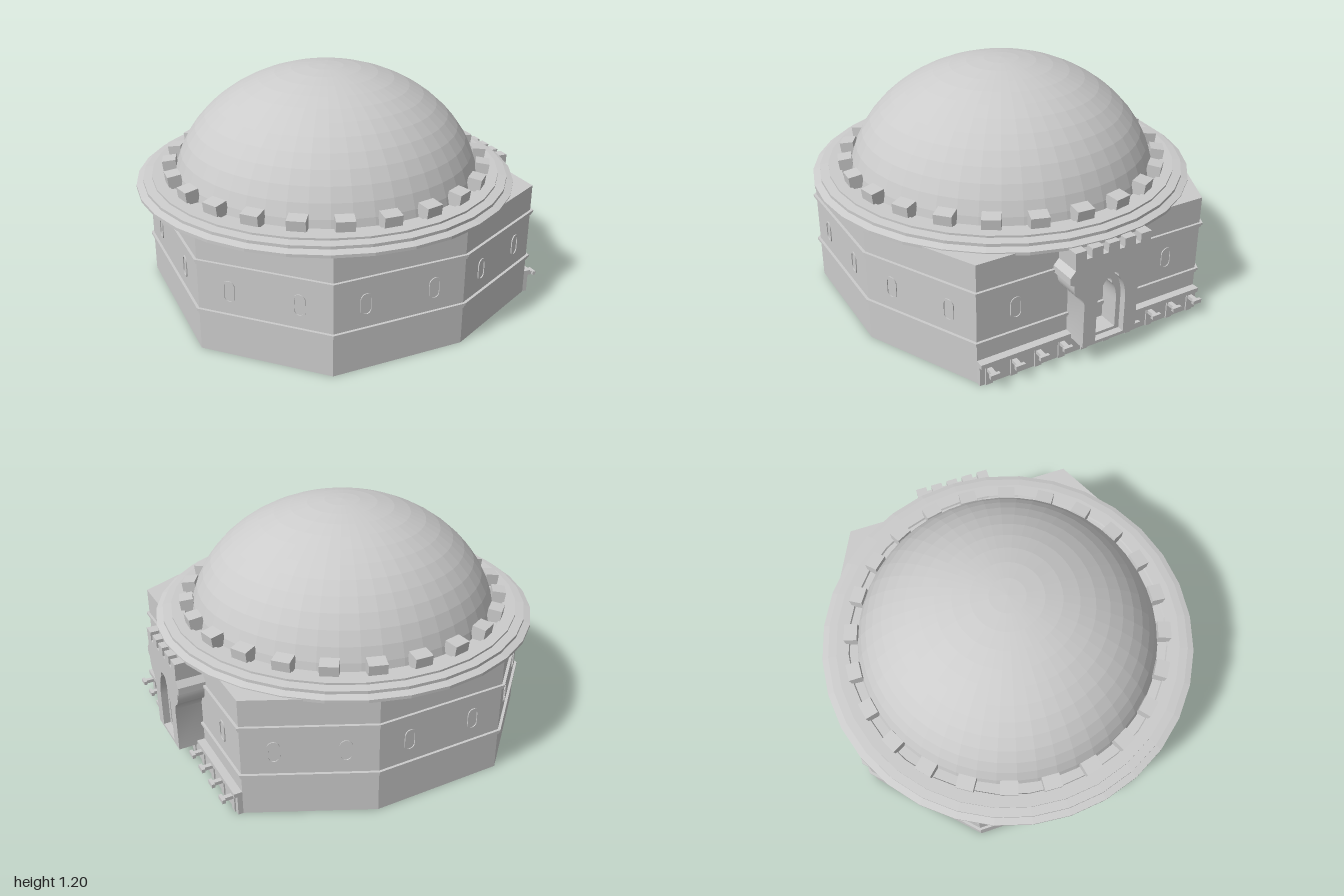
import * as THREE from 'three';
import { toCreasedNormals } from 'three/addons/utils/BufferGeometryUtils.js';

const grey = new THREE.MeshStandardMaterial({ color: 0xcccccc, side: THREE.DoubleSide });
const faceted = new THREE.MeshStandardMaterial({ color: 0xcccccc, flatShading: true, side: THREE.DoubleSide });

// Half of the eight-sided wall plan (x, z), mirrored to the other half
const half = [[0.865, 0.63], [0.3, 0.91], [-0.38, 0.91], [-0.86, 0.44]];
const plan = [...half, ...half.map(([x, z]) => [x, -z]).reverse()];

export function createModel() {
  const model = new THREE.Group();

  const add = (name, geometry, material = grey, parent = model) => {
    const mesh = new THREE.Mesh(geometry, material);
    mesh.name = name;
    parent.add(mesh);
    return mesh;
  };
  const group = (name) => {
    const g = new THREE.Group();
    g.name = name;
    model.add(g);
    return g;
  };
  // Box given by its limits
  const box = (name, x0, x1, y0, y1, z0, z1, parent) =>
    add(name, new THREE.BoxGeometry(x1 - x0, y1 - y0, z1 - z0), grey, parent)
      .position.set((x0 + x1) / 2, (y0 + y1) / 2, (z0 + z1) / 2);
  // Slab with the wall plan, scaled outward
  const prism = (name, y0, y1, s) => {
    const shape = new THREE.Shape(plan.map(([x, z]) => new THREE.Vector2(x * s, z * s)));
    const g = new THREE.ExtrudeGeometry(shape, { depth: y1 - y0, bevelEnabled: false });
    add(name, g.rotateX(-Math.PI / 2).translate(0, y0, 0));
  };
  const ring = (name, pts, segments, material) =>
    add(name, new THREE.LatheGeometry(pts.map(([r, y]) => new THREE.Vector2(r, y)), segments), material);

  // Walls and their string courses
  prism('walls', 0, 0.62, 1);
  for (const y of [0.2, 0.46]) {
    prism('stringCourse', y, y + 0.012, 1.008);
    prism('stringCourseLip', y + 0.012, y + 0.024, 1.015);
  }

  // Oval window frames, two on each wall
  const oval = (P, r, h) => {
    const p = new P();
    p.absarc(0, h, r, 0, Math.PI, false);
    p.absarc(0, -h, r, Math.PI, Math.PI * 2, false);
    p.closePath();
    return p;
  };
  const frame = oval(THREE.Shape, 0.03, 0.027);
  frame.holes.push(oval(THREE.Path, 0.023, 0.025));
  const frameGeometry = new THREE.ExtrudeGeometry(frame, { depth: 0.008, bevelEnabled: false, curveSegments: 8 });
  const windows = group('windows');
  plan.forEach(([x0, z0], i) => {
    const [x1, z1] = plan[(i + 1) % plan.length];
    const inset = i === plan.length - 1 ? 0.16 : 0.24;
    for (const t of [inset, 1 - inset]) {
      const w = add('windowFrame', frameGeometry, grey, windows);
      w.position.set(x0 + (x1 - x0) * t, 0.34, z0 + (z1 - z0) * t);
      w.rotation.y = Math.atan2(z1 - z0, x0 - x1) + Math.PI / 2;
      // face away from the centre
      const n = new THREE.Vector3(z0 - z1, 0, x1 - x0).normalize();
      if (n.dot(w.position) < 0) n.negate();
      w.rotation.y = Math.atan2(n.x, n.z);
      w.position.addScaledVector(n, -0.003);
    }
  });

  // Stepped round cornice
  ring('cornice', [[0.7, 0.6], [0.955, 0.6], [0.985, 0.61], [0.985, 0.625], [0.95, 0.635],
    [0.95, 0.65], [0.905, 0.655], [0.905, 0.665], [0.84, 0.665], [0.835, 0.655], [0.7, 0.655]], 32, faceted)
    .position.x = -0.015;

  // Dome
  const domePts = [];
  for (let i = 0; i <= 14; i++) {
    const a = (i / 14) * Math.PI / 2;
    domePts.push([0.803 * Math.cos(a), 0.55 + 0.648 * Math.sin(a)]);
  }
  domePts[14][0] = 0;
  ring('dome', domePts, 48, faceted).position.x = -0.008;

  // Blocks around the foot of the dome
  const blocks = group('domeBlocks');
  for (let i = 0; i < 24; i++) {
    const a = THREE.MathUtils.degToRad(3 + i * 15);
    const b = add('domeBlock', new THREE.BoxGeometry(0.09, 0.075, 0.07), grey, blocks);
    b.position.set(-0.01 + 0.815 * Math.sin(a), 0.684, -0.815 * Math.cos(a));
    b.rotation.order = 'YXZ';
    b.rotation.y = Math.PI - a;
    b.rotation.x = 0.12;
  }

  // Plinth below the entrance wall, with pilaster strips and brackets
  box('plinth', 0.8, 0.89, 0, 0.1, -0.63, 0.63);
  box('plinthCap', 0.8, 0.905, 0.1, 0.122, -0.63, 0.63);
  const brackets = group('brackets');
  for (let i = 0; i < 10; i++) {
    const z = (i - 4.5) * 0.13;
    box('bracketArm', 0.88, 0.945, 0.072, 0.09, z - 0.012, z + 0.012, brackets);
    box('bracketHead', 0.94, 0.957, 0.072, 0.092, z - 0.025, z + 0.025, brackets);
    box('plinthStrip', 0.88, 0.897, 0, 0.1, z - 0.018, z + 0.018, brackets);
  }

  // Entrance: flared block with battlements and a pointed arch
  const arch = (P, w, y0, spring, apex) => {
    const p = new P();
    p.moveTo(-w, y0);
    p.lineTo(w, y0);
    p.lineTo(w, spring);
    p.quadraticCurveTo(w, spring + (apex - spring) * 0.55, w * 0.45, apex - 0.03);
    p.quadraticCurveTo(w * 0.5, apex, 0, apex);
    p.quadraticCurveTo(-w * 0.5, apex, -w * 0.45, apex - 0.03);
    p.quadraticCurveTo(-w, spring + (apex - spring) * 0.55, -w, spring);
    p.closePath();
    return p;
  };
  const entrance = group('entrance');
  const extrudeEast = (name, shape, x0, x1) => {
    const g = new THREE.ExtrudeGeometry(shape, { depth: x1 - x0, bevelEnabled: false, curveSegments: 8 });
    add(name, toCreasedNormals(g.rotateY(Math.PI / 2).translate(x0, 0, 0), 0.6), grey, entrance);
  };
  const block = new THREE.Shape();
  block.moveTo(-0.15, 0.1);
  block.lineTo(0.15, 0.1);
  block.lineTo(0.15, 0.33);
  block.quadraticCurveTo(0.155, 0.37, 0.185, 0.385);
  block.quadraticCurveTo(0.21, 0.4, 0.21, 0.455);
  block.lineTo(0.232, 0.465);
  block.lineTo(0.232, 0.5);
  block.lineTo(0.205, 0.53);
  // battlements: five merlons from +u to -u
  for (let i = 0; i < 5; i++) {
    const u = 0.18 - i * 0.09;
    block.lineTo(u + 0.03, 0.62);
    block.lineTo(u - 0.03, 0.62);
    if (i < 4) {
      block.lineTo(u - 0.03, 0.575);
      block.lineTo(u - 0.06, 0.575);
    }
  }
  block.lineTo(-0.205, 0.53);
  block.lineTo(-0.232, 0.5);
  block.lineTo(-0.232, 0.465);
  block.lineTo(-0.21, 0.455);
  block.quadraticCurveTo(-0.21, 0.4, -0.185, 0.385);
  block.quadraticCurveTo(-0.155, 0.37, -0.15, 0.33);
  block.closePath();
  block.holes.push(arch(THREE.Path, 0.08, 0.115, 0.29, 0.46));
  extrudeEast('entranceBlock', block, 0.86, 1.0);

  // Inner arch frame set back in the opening
  const inner = arch(THREE.Shape, 0.082, 0.113, 0.29, 0.462);
  inner.holes.push(arch(THREE.Path, 0.055, 0.13, 0.27, 0.41));
  extrudeEast('innerArch', inner, 0.86, 0.965);

  return model;
}
